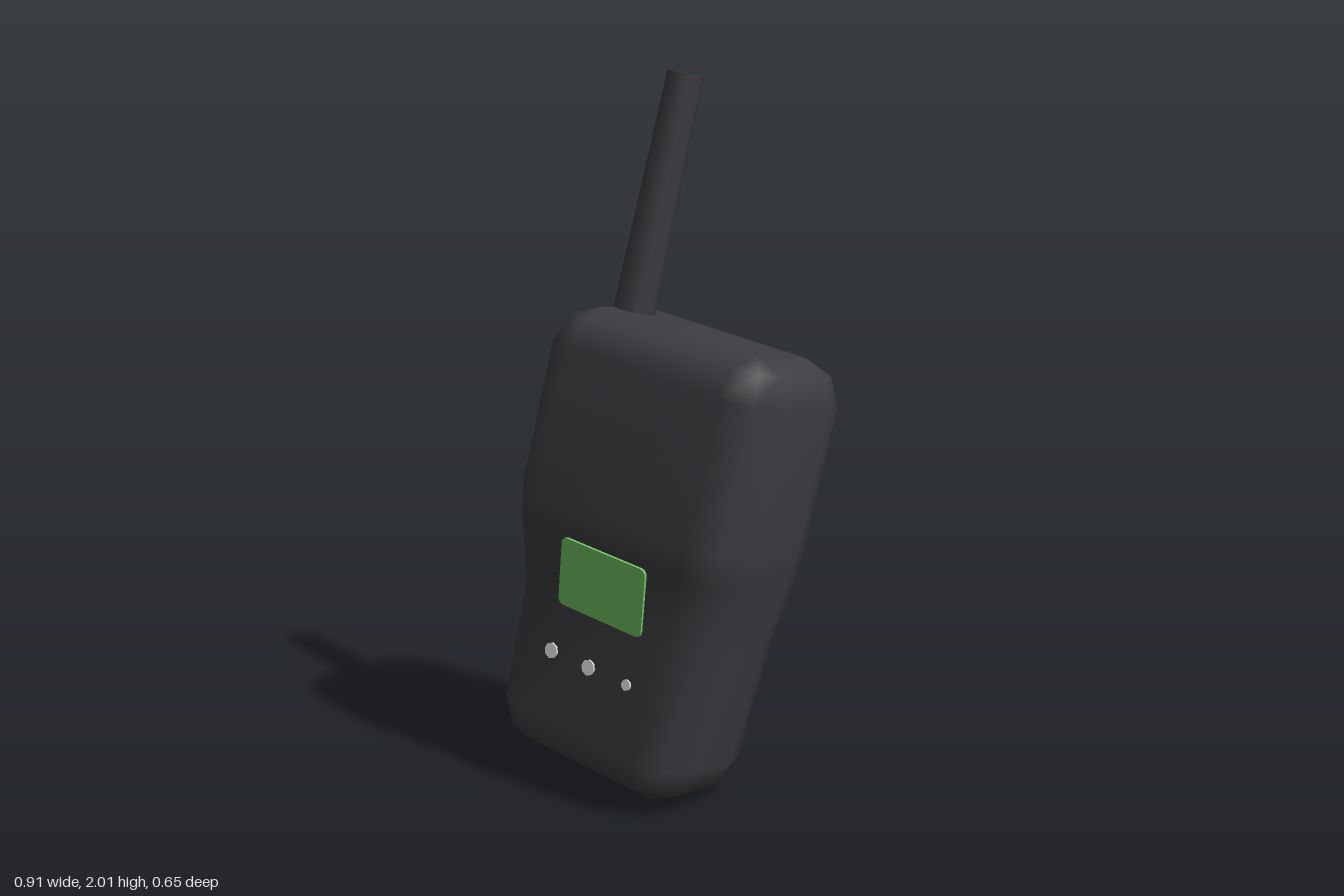
import * as THREE from 'three';

const mat = (name, color) => {
  const m = new THREE.MeshStandardMaterial({ color });
  m.name = name;
  return m;
};

// Cross-section with rounded corners: core half width A, core half depth B, depth offset w, corner radius r
function ring(v, A, B, w, r) {
  const pts = [];
  for (let c = 0; c < 4; c++) {
    const sx = c === 0 || c === 3 ? 1 : -1;
    const sz = c < 2 ? 1 : -1;
    for (let k = 0; k < 3; k++) {
      const t = (c + k / 2) * Math.PI / 2;
      pts.push([sx * A + r * Math.cos(t), v, w + sz * B + r * Math.sin(t)]);
    }
  }
  return pts;
}

// Closed skin over a stack of rings, lowest first
function loft(rings) {
  const n = rings[0].length, pos = [], idx = [];
  rings.forEach(r => r.forEach(p => pos.push(...p)));
  for (let i = 0; i < rings.length - 1; i++) {
    for (let j = 0; j < n; j++) {
      const a = i * n + j, b = i * n + (j + 1) % n;
      idx.push(a, a + n, b, b, a + n, b + n);
    }
  }
  const top = (rings.length - 1) * n;
  for (let j = 1; j < n - 1; j++) {
    idx.push(0, j, j + 1);
    idx.push(top, top + j + 1, top + j);
  }
  const g = new THREE.BufferGeometry();
  g.setAttribute('position', new THREE.Float32BufferAttribute(pos, 3));
  g.setIndex(idx);
  g.computeVertexNormals();
  return g;
}

// Thin plate with rounded corners, facing +z
function plate(w, h, r) {
  const s = new THREE.Shape(), x = w / 2, y = h / 2;
  s.moveTo(-x + r, -y);
  s.lineTo(x - r, -y).quadraticCurveTo(x, -y, x, -y + r);
  s.lineTo(x, y - r).quadraticCurveTo(x, y, x - r, y);
  s.lineTo(-x + r, y).quadraticCurveTo(-x, y, -x, y - r);
  s.lineTo(-x, -y + r).quadraticCurveTo(-x, -y, -x + r, -y);
  return new THREE.ExtrudeGeometry(s, { depth: 0.008, bevelEnabled: false, curveSegments: 3 });
}

export function createModel() {
  const dark = mat('dark casing', 0x3d3c41);
  const green = mat('green screen', 0x76c864);
  const red = mat('red button', 0xb8432c);
  const white = mat('white light', 0xdedede);

  const radio = new THREE.Group();
  radio.name = 'handheldRadio';
  const add = (name, geo, material, x, y, z) => {
    const m = new THREE.Mesh(geo, material);
    m.name = name;
    m.position.set(x, y, z);
    radio.add(m);
    return m;
  };

  // Casing: narrow grip below, stepping out to a wider head
  add('casing', loft([
    ring(-0.977, 0.212, 0.088, -0.03, 0.02),
    ring(-0.943, 0.207, 0.085, -0.03, 0.092),
    ring(-0.86, 0.205, 0.084, -0.03, 0.13),
    ring(-0.51, 0.225, 0.081, -0.03, 0.13),
    ring(-0.31, 0.258, 0.101, -0.006, 0.13),
    ring(-0.22, 0.264, 0.106, 0, 0.131),
    ring(0.185, 0.264, 0.106, 0, 0.131),
    ring(0.27, 0.264, 0.106, 0, 0.093),
    ring(0.305, 0.264, 0.106, 0, 0.015),
  ]), dark, 0, 0, 0);

  // Antenna
  add('antenna', new THREE.CylinderGeometry(0.052, 0.061, 0.72, 8), dark, -0.246, 0.62, 0.008);

  // Screen on the sloping step
  add('screen', plate(0.305, 0.203, 0.02), green, 0, -0.421, 0.2).rotation.x = 0.226;

  // Row of lights under the screen
  [0.023, 0.023, 0.016].forEach((r, i) => {
    add('indicatorLight', new THREE.CylinderGeometry(r, r, 0.008, 8), white, (i - 1) * 0.14, -0.66, 0.184)
      .rotation.x = Math.PI / 2;
  });

  // Buttons on the right side
  add('talkButton', plate(0.1, 0.17, 0.015), red, -0.392, 0.015, -0.02).rotation.y = -Math.PI / 2;
  add('roundButton', new THREE.CylinderGeometry(0.034, 0.034, 0.008, 10), red, -0.394, -0.24, -0.02)
    .rotation.z = Math.PI / 2;

  // Lean the whole radio
  const up = new THREE.Vector3(0.168, 0.976, -0.14).normalize();
  const front = new THREE.Vector3(-0.189, 0.171, 0.967);
  const side = new THREE.Vector3().crossVectors(up, front).normalize();
  front.crossVectors(side, up);
  radio.quaternion.setFromRotationMatrix(new THREE.Matrix4().makeBasis(side, up, front));
  radio.position.set(0.02, 1.0, -0.006);

  const model = new THREE.Group();
  model.name = 'model';
  model.add(radio);
  return model;
}
